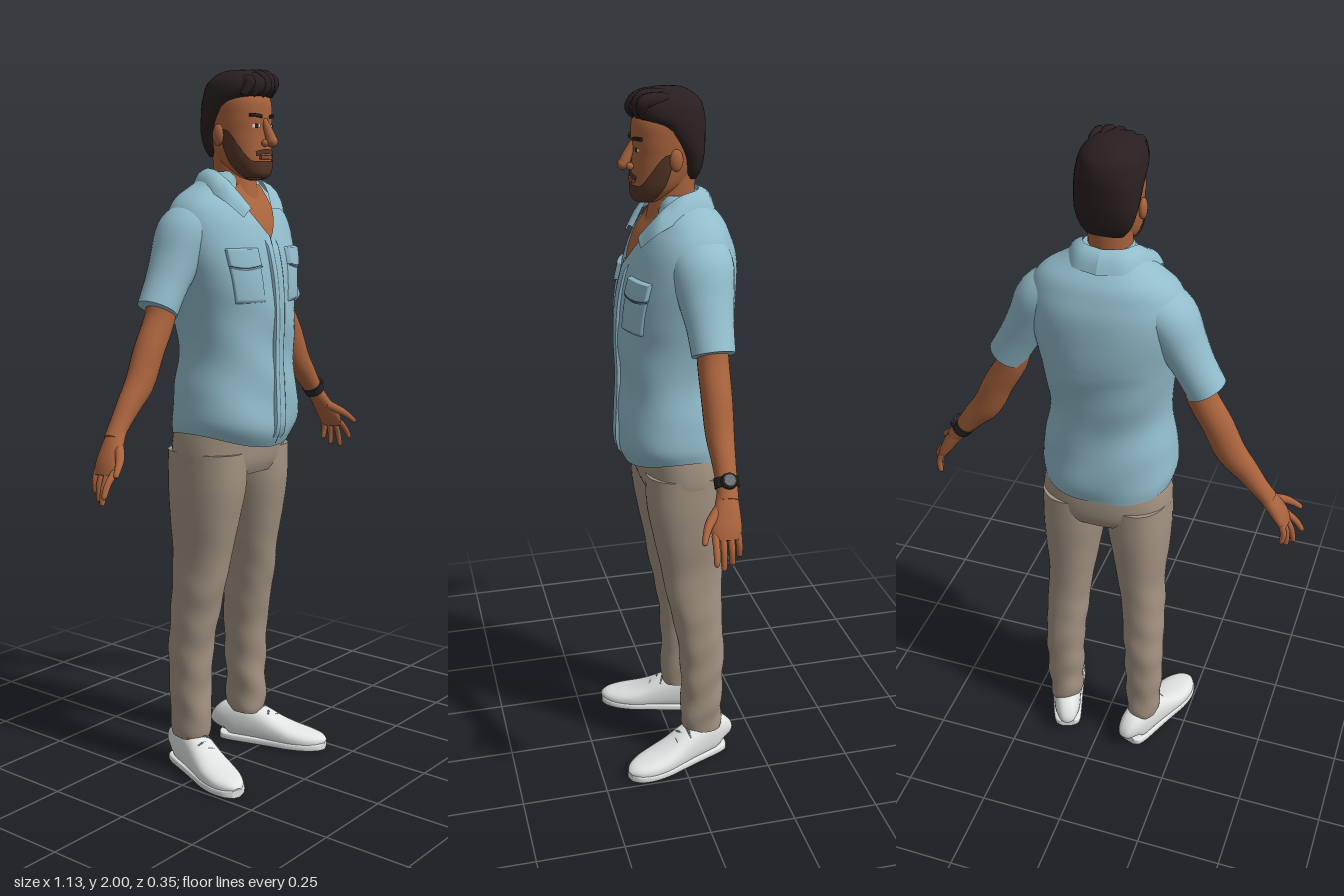
import * as THREE from 'three';

const V = (x, y, z) => new THREE.Vector3(x, y, z);
const mat = (name, color, side = THREE.FrontSide) => Object.assign(new THREE.MeshStandardMaterial({ color, side }), { name });

// Smooth a short table of section rows by Catmull-Rom on every column
function densify(rows, k = 6) {
  const out = [], last = rows.length - 1;
  const cr = (a, b, c, d, t) => 0.5 * (2 * b + (c - a) * t + (2 * a - 5 * b + 4 * c - d) * t * t + (3 * b - a - 3 * c + d) * t * t * t);
  for (let i = 0; i < last; i++) for (let s = 0; s < k; s++) {
    const [p, q, r, w] = [i - 1, i, i + 1, i + 2].map(j => rows[Math.min(last, Math.max(0, j))]);
    out.push(q.map((_, c) => cr(p[c], q[c], r[c], w[c], s / k)));
  }
  out.push(rows[last]);
  return out;
}
const sp = (t, p) => Math.sign(t) * Math.abs(t) ** (2 / p);

// Closed skin over rings {c, u, v}, with flat end caps
function skin(rings, p = 2, n = 32) {
  const pos = [], idx = [];
  const ringAt = r => {
    for (let j = 0; j < n; j++) {
      const a = (j / n) * Math.PI * 2;
      pos.push(...r.c.clone().addScaledVector(r.u, sp(Math.sin(a), p)).addScaledVector(r.v, sp(Math.cos(a), p)).toArray());
    }
  };
  rings.forEach(ringAt);
  for (let i = 0; i < rings.length - 1; i++) for (let j = 0; j < n; j++) {
    const a = i * n + j, b = i * n + (j + 1) % n;
    idx.push(a, b, b + n, a, b + n, a + n);
  }
  [rings[0], rings[rings.length - 1]].forEach((r, top) => {
    const base = pos.length / 3;
    ringAt(r);
    pos.push(...r.c.toArray());
    for (let j = 0; j < n; j++) {
      const a = base + j, b = base + (j + 1) % n;
      idx.push(base + n, top ? a : b, top ? b : a);
    }
  });
  return buffer(pos, idx);
}
function buffer(pos, idx) {
  const g = new THREE.BufferGeometry();
  g.setAttribute('position', new THREE.Float32BufferAttribute(pos, 3));
  g.setIndex(idx);
  g.computeVertexNormals();
  return g;
}
// Upright form from rows [y, halfWidth, zFront, zBack, centreX]
const column = (dense, p, n) => skin(dense.map(([y, w, f, b, cx = 0]) =>
  ({ c: V(cx, y, (f + b) / 2), u: V(w, 0, 0), v: V(0, 0, (f - b) / 2) })), p, n);
// Limb along a path from rows [x, y, z, radiusAcross, radiusDeep]
function limb(rows, { p = 2, n = 20, ref = V(0, 0, 1), k = 5 } = {}) {
  const d = densify(rows, k);
  return skin(d.map(([x, y, z, ra, rb], i) => {
    const A = d[Math.max(0, i - 1)], B = d[Math.min(d.length - 1, i + 1)];
    const t = V(B[0] - A[0], B[1] - A[1], B[2] - A[2]).normalize();
    const u = t.clone().cross(ref).normalize(), v = u.clone().cross(t);
    return { c: V(x, y, z), u: u.multiplyScalar(ra), v: v.multiplyScalar(rb) };
  }), p, n);
}
// Thin patch lying on an upright form, between angles a0..a1 (0 = front)
function patch(dense, p, a0, a1, lo, hi, off, rim = false, n = 20) {
  const pos = [], idx = [];
  for (let i = 0; i <= n; i++) for (let j = 0; j <= n; j++) {
    const a = a0 + (a1 - a0) * j / n, y = lo(a) + (hi(a) - lo(a)) * i / n;
    let k = 0;
    while (k < dense.length - 2 && dense[k + 1][0] < y) k++;
    const t = (y - dense[k][0]) / (dense[k + 1][0] - dense[k][0]);
    const [w, f, b] = [1, 2, 3].map(c => dense[k][c] + (dense[k + 1][c] - dense[k][c]) * t);
    const o = rim && (i === 0 || j === 0 || i === n || j === n) ? -0.002 : off;
    pos.push(w * sp(Math.sin(a), p) + o * Math.sin(a), y, (f + b) / 2 + (f - b) / 2 * sp(Math.cos(a), p) + o * Math.cos(a));
    if (i < n && j < n) { const q = i * (n + 1) + j; idx.push(q, q + 1, q + n + 2, q, q + n + 2, q + n + 1); }
  }
  return buffer(pos, idx);
}
function deform(g, fn) {
  const P = g.attributes.position, v = V();
  for (let i = 0; i < P.count; i++) { fn(v.fromBufferAttribute(P, i)); P.setXYZ(i, v.x, v.y, v.z); }
  g.computeVertexNormals();
  return g;
}

export function createModel() {
  const root = new THREE.Group();
  root.name = 'standingMan';
  const D = THREE.DoubleSide;
  const M = {
    shirt: mat('shirtBlue', 0x92bccb, D), seam: mat('seamBlue', 0x55788a, D), pants: mat('trouserTan', 0xa39382),
    skin: mat('skin', 0xa9633d, D), hair: mat('hairDark', 0x2a1f20, D), beard: mat('beardBrown', 0x553626, D),
    white: mat('shoeWhite', 0xe2e4e4, D), grey: mat('laceGrey', 0x6c7072), black: mat('watchBlack', 0x262528), lip: mat('lip', 0x8a4a38, D),
  };
  const add = (name, geo, m, parent = root) => {
    const mesh = new THREE.Mesh(geo, m);
    mesh.name = name;
    parent.add(mesh);
    return mesh;
  };
  const flat = y => () => y;

  // Shirt body with a hem that rises at the sides and back
  const torso = densify([
    [0.965, .186, .128, -.16], [1.02, .193, .152, -.165], [1.12, .186, .15, -.158], [1.22, .169, .145, -.15], [1.32, .175, .148, -.163],
    [1.42, .193, .143, -.175], [1.5, .208, .128, -.176], [1.57, .21, .105, -.17], [1.62, .197, .08, -.155], [1.655, .168, .055, -.14],
    [1.685, .12, .04, -.115], [1.71, .085, .035, -.09], [1.725, .068, .03, -.075]]);
  add('shirtBody', deform(column(torso, 2.3, 64), v => {
    const k = Math.max(0, (1.1 - v.y) / 0.135);
    v.y += k * (0.045 * Math.min(1, (v.x / .19) ** 2) + (v.z < 0 ? 0.02 * Math.min(1, -v.z / .1) * (1 - Math.min(1, Math.abs(v.x) / .19)) : 0));
    v.z += 0.003 * Math.sin(v.y * 34 + v.x * 22) * (v.y < 1.4 ? 1 : 0.3);
  }), M.shirt);
  add('openNeck', patch(torso, 2.3, -.4, .4, a => 1.545 + .34 * Math.abs(a), flat(1.69), .006), M.skin);
  add('buttonPlacket', patch(torso, 2.3, -.085, .085, flat(.975), flat(1.55), .007, true), M.shirt);
  add('placketSeam', patch(torso, 2.3, -.026, -.014, flat(.975), flat(1.55), .009), M.seam);
  for (const s of [-1, 1]) {
    const a = s > 0 ? [.24, .8] : [-.8, -.24];
    add('pocket', patch(torso, 2.3, ...a, flat(1.37), flat(1.49), .005, true), M.shirt);
    add('pocketFlap', patch(torso, 2.3, ...a, q => 1.474 - .01 * Math.cos((Math.abs(q) - .52) * 5), flat(1.52), .011, true), M.shirt);
    add('pocketEdge', patch(torso, 2.3, ...a, q => 1.47 - .01 * Math.cos((Math.abs(q) - .52) * 5), q => 1.474 - .01 * Math.cos((Math.abs(q) - .52) * 5), .0075), M.seam);
  }

  // Collar: folded strip from a neck edge to an outer edge, mirrored
  const half = h => new THREE.CatmullRomCurve3(h.map(q => V(...q)));
  const inner = half([[0, 1.735, -.08], [.05, 1.735, -.063], [.073, 1.725, -.01], [.073, 1.69, .04], [.043, 1.622, .09]]);
  const outer = half([[0, 1.685, -.125], [.075, 1.685, -.1], [.115, 1.677, -.02], [.125, 1.645, .056], [.093, 1.6, .099]]);
  for (const s of [-1, 1]) {
    const pos = [], idx = [], N = 24, R = 5;
    for (let i = 0; i <= N; i++) for (let j = 0; j <= R; j++) {
      const q = inner.getPoint(i / N).lerp(outer.getPoint(i / N), j / R);
      const lift = 0.01 * Math.sin(Math.PI * j / R);
      pos.push(s * q.x * (1 + lift * 4), q.y + lift, q.z + (q.z > .03 ? lift * .6 : -lift * .4));
      if (i < N && j < R) {
        const b = i * (R + 1) + j, f = [b, b + 1, b + R + 2, b, b + R + 2, b + R + 1];
        idx.push(...(s > 0 ? f.reverse() : f));
      }
    }
    add('collar', buffer(pos, idx), M.shirt);
  }

  // Neck and head
  add('neck', column(densify([[1.58, .06, .08, -.05], [1.66, .059, .062, -.062], [1.72, .058, .05, -.068], [1.79, .06, .045, -.07]]), 2), M.skin);
  const head = densify([[1.705, .03, .09, .03], [1.72, .05, .1, 0], [1.75, .066, .102, -.04], [1.79, .074, .1, -.065], [1.83, .078, .098, -.075],
    [1.87, .08, .1, -.08], [1.92, .077, .095, -.08], [1.96, .05, .06, -.05]]);
  add('head', column(head, 2.2, 40), M.skin);
  const step = THREE.MathUtils.smoothstep;
  add('beard', patch(head, 2.2, -1.6, 1.6, flat(1.706), a => 1.752 + .085 * step(Math.abs(a), .65, 1.5), .004, false, 32), M.beard);
  add('chinBeard', deform(new THREE.SphereGeometry(1, 20, 12), v => v.multiply(V(.034, .012, .034)).add(V(0, 1.712, .062))), M.beard);
  add('moustache', patch(head, 2.2, -.5, .5, a => 1.771 - .03 * a * a, a => 1.784 - .03 * a * a, .005), M.beard);
  add('lips', patch(head, 2.2, -.34, .34, flat(1.756), flat(1.768), .006, true), M.lip);
  add('noseBridge', limb([[0, 1.862, .095, .009, .008], [0, 1.835, .108, .011, .012], [0, 1.805, .121, .015, .015], [0, 1.795, .118, .012, .01]]), M.skin);
  add('noseTip', new THREE.SphereGeometry(.015, 16, 12).translate(0, 1.803, .124), M.skin);
  for (const s of [-1, 1]) {
    const span = (a, b) => s > 0 ? [a, b] : [-b, -a];
    add('nostril', new THREE.SphereGeometry(.01, 12, 8).translate(s * .013, 1.799, .108), M.skin);
    add('eye', patch(head, 2.2, ...span(.24, .54), flat(1.84), flat(1.849), .003), M.white);
    add('iris', patch(head, 2.2, ...span(.33, .46), flat(1.839), flat(1.85), .004), M.hair);
    add('eyebrow', patch(head, 2.2, ...span(.17, .66), a => 1.861 + .008 * Math.sin(Math.abs(a) * 3), a => 1.87 + .008 * Math.sin(Math.abs(a) * 3), .006, true), M.hair);
    add('ear', deform(new THREE.SphereGeometry(1, 16, 12), v => v.multiply(V(.011, .029, .018)).add(V(s * .082, 1.822, 0))), M.skin);
  }

  // Hair: shell around the back and crown, with swept locks in front
  add('hair', column(densify([[1.765, .05, -.035, -.07], [1.79, .068, -.02, -.083], [1.83, .081, -.008, -.09], [1.87, .086, .025, -.093],
    [1.905, .088, .06, -.094], [1.93, .088, .1, -.092], [1.96, .08, .108, -.083], [1.982, .06, .085, -.06], [1.994, .032, .055, -.035], [1.998, .005, .02, -.005]]), 2.2, 40), M.hair);
  for (let i = 0; i < 5; i++) {
    const x = -.052 + i * .026, h = 1.982 - Math.abs(i - 2.6) * .007;
    add('hairLock', limb([[x * 1.1 - .01, 1.925, .09 - Math.abs(x) * .3, .01, .008], [x, 1.95, .1 - Math.abs(x) * .4, .018, .015],
      [x + .005, h - .004, .075, .02, .016], [x + .005, h, .03, .018, .014], [x, h - .004, -.02, .006, .005]], { ref: V(1, 0, 0), n: 14 }), M.hair);
  }

  // Trousers
  add('trouserHips', column(densify([[1.06, .17, .11, -.145], [.98, .185, .1, -.155], [.92, .186, .093, -.154], [.885, .165, .08, -.14]].reverse()), 2.4, 48), M.pants);
  for (const s of [-1, 1]) {
    const leg = densify([[.1, .046, -.012, -.124, .13], [.13, .049, -.005, -.13, .13], [.23, .055, -.008, -.13, .13], [.36, .058, -.002, -.135, .128],
      [.47, .062, .015, -.13, .122], [.55, .063, .033, -.128, .118], [.65, .068, .05, -.132, .108], [.75, .08, .07, -.14, .104],
      [.85, .09, .087, -.148, .098], [.95, .091, .09, -.15, .095]].map(r => [...r.slice(0, 4), s * r[4]]), 8);
    add('trouserLeg', deform(column(leg, 2.3, 40), v => {
      const k = 0.003 * Math.max(0, 1 - v.y / .75);
      v.x += k * Math.sin(v.y * 55 + v.z * 30);
      v.z += k * Math.sin(v.y * 48 + v.x * 40 * s);
    }), M.pants);

    // Shoe, turned outward, with sole and laces
    const shoe = new THREE.Group();
    shoe.name = 'shoe';
    shoe.position.set(s * .13, 0, -.07);
    shoe.rotation.y = s * .34;
    root.add(shoe);
    const prof = [[-.075, .02, .07], [-.066, .034, .1], [-.04, .041, .122], [0, .044, .126], [.05, .047, .108], [.1, .051, .083], [.15, .055, .064], [.2, .05, .052], [.237, .034, .043], [.254, .012, .03]];
    add('shoeUpper', limb(prof.map(([z, w, h]) => [0, h / 2, z, w, h / 2]), { ref: V(0, 1, 0), p: 2.5, n: 28 }), M.white, shoe);
    add('shoeSole', limb(prof.map(([z, w]) => [0, .012, z * 1.01, w + .003, .012]), { ref: V(0, 1, 0), p: 5, n: 28 }), M.white, shoe);
    for (let i = 0; i < 5; i++) {
      const z = .035 + i * .02, y = .119 - i * .0115, d = i % 2 ? .007 : -.007;
      const path = new THREE.CatmullRomCurve3([V(-.034, y - .016, z - d), V(-.016, y - .001, z - d / 2), V(.016, y - .001, z + d / 2), V(.034, y - .016, z + d)]);
      add('lace', new THREE.TubeGeometry(path, 12, .0035, 6), M.grey, shoe);
    }

    // Sleeve, arm and hand
    const L = (rows, o) => limb(rows.map(([x, ...r]) => [s * x, ...r]), o);
    add('sleeve', L([[.125, 1.6, -.045, .055, .08], [.172, 1.555, -.046, .072, .085], [.212, 1.48, -.048, .063, .073], [.245, 1.42, -.05, .056, .063], [.28, 1.357, -.05, .055, .058]], { n: 28 }), M.shirt);
    add('arm', L([[.25, 1.4, -.052, .042, .042], [.27, 1.33, -.052, .042, .042], [.315, 1.25, -.05, .043, .041], [.354, 1.17, -.048, .042, .038],
      [.4, 1.115, -.046, .034, .032], [.44, 1.065, -.044, .026, .028], [.468, 1.03, -.04, .023, .028]], { n: 24 }), M.skin);
    add('palm', L([[.45, 1.05, -.042, .022, .026], [.478, 1.012, -.035, .021, .034], [.503, .972, -.027, .018, .041], [.518, .943, -.025, .012, .036]]), M.skin);
    const tips = [[.518, .898, -.058], [.528, .881, -.037], [.543, .876, -.011], [.56, .9, .013]];
    tips.forEach((t, i) => {
      const b = [.512, .957, -.055 + i * .02];
      add('finger', L([[...b, .009, .01], [(b[0] + t[0]) / 2 + .006, (b[1] + t[1]) / 2, (b[2] + t[2]) / 2, .009, .009], [...t, .0075, .0075], [t[0] + .001, t[1] - .004, t[2], .002, .002]], { n: 12 }), M.skin);
    });
    add('thumb', L([[.474, 1.012, -.014, .014, .014], [.505, .99, .018, .012, .012], [.53, .97, .034, .009, .009], [.546, .955, .042, .007, .007], [.548, .953, .043, .002, .002]], { n: 12 }), M.skin);
  }

  // Wristwatch on the left arm
  add('watchStrap', limb([[.431, 1.077, -.044, .031, .033], [.447, 1.056, -.043, .029, .032]]), M.black);
  const watch = new THREE.Group();
  watch.name = 'watchCase';
  watch.position.set(.462, 1.083, -.044);
  watch.rotation.z = -.9;
  root.add(watch);
  add('watchBody', new THREE.CylinderGeometry(.02, .022, .012, 24), M.black, watch);
  add('watchDial', new THREE.CylinderGeometry(.015, .015, .002, 24).translate(0, .007, 0), M.grey, watch);
  return root;
}
